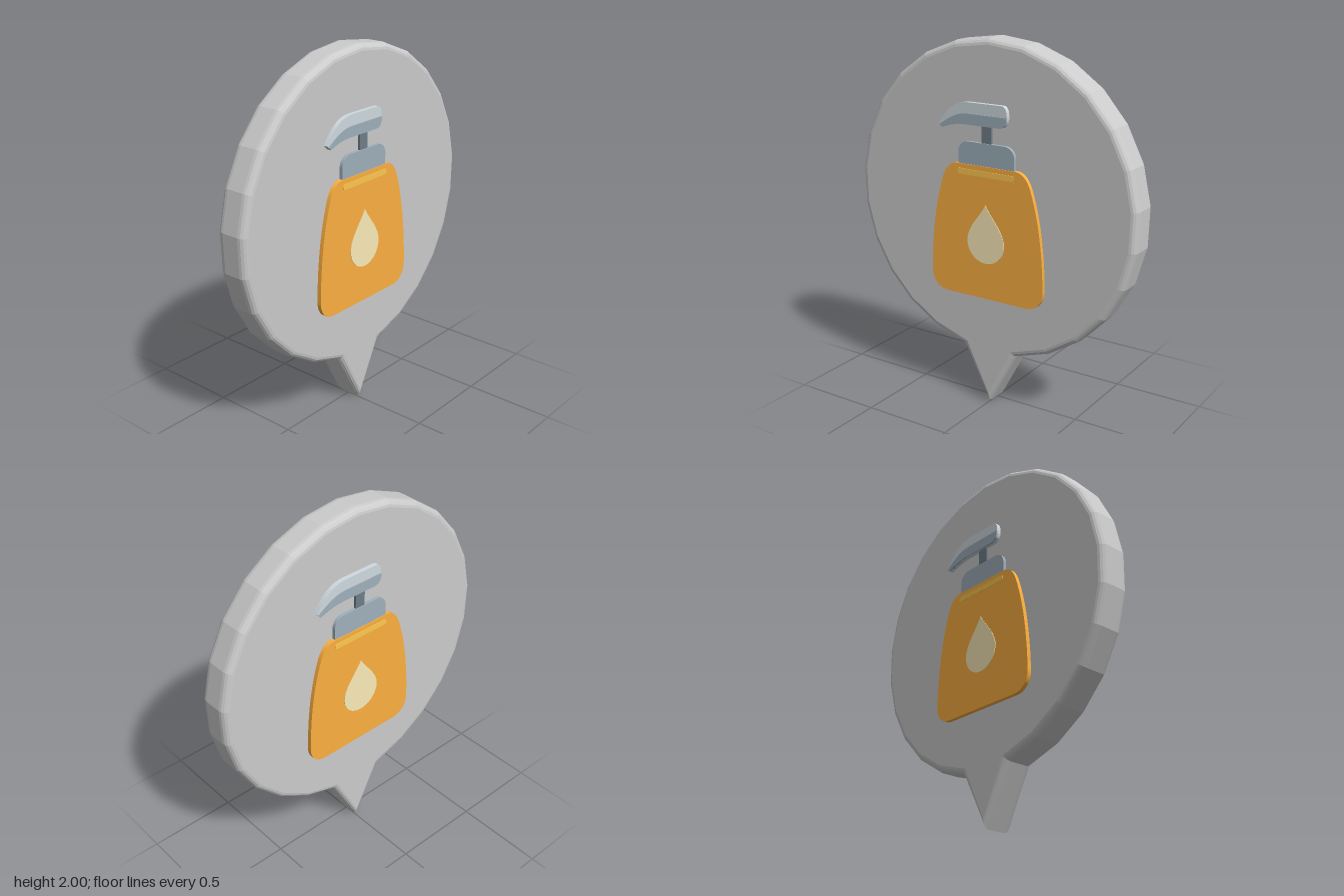
import * as THREE from 'three';

const FACE = 0.088; // half thickness of the sign board

const material = (color) => new THREE.MeshStandardMaterial({ color });

// Flat plate on the front face of the board, reaching out to z = top
function plate(name, shape, top, color, base = FACE - 0.006) {
  const geometry = new THREE.ExtrudeGeometry(shape, {
    depth: top - base, bevelEnabled: false, curveSegments: 12,
  });
  geometry.translate(0, 0, base);
  const mesh = new THREE.Mesh(geometry, material(color));
  mesh.name = name;
  return mesh;
}

// Rectangle with separate corner radii for bottom and top
function roundedRect(x0, y0, x1, y1, rb, rt) {
  const s = new THREE.Shape();
  s.moveTo(x0 + rb, y0);
  s.lineTo(x1 - rb, y0);
  if (rb) s.absarc(x1 - rb, y0 + rb, rb, -Math.PI / 2, 0);
  s.lineTo(x1, y1 - rt);
  if (rt) s.absarc(x1 - rt, y1 - rt, rt, 0, Math.PI / 2);
  s.lineTo(x0 + rt, y1);
  if (rt) s.absarc(x0 + rt, y1 - rt, rt, Math.PI / 2, Math.PI);
  s.lineTo(x0, y0 + rb);
  if (rb) s.absarc(x0 + rb, y0 + rb, rb, Math.PI, Math.PI * 1.5);
  return s;
}

// Faceted round board with a pointed tail and rounded rim
function createBoard() {
  const radius = 0.855, centre = 1.145, sides = 24;
  const reach = Math.PI - Math.asin(0.165 / radius);
  const points = [new THREE.Vector2(0, 0)];
  for (let i = 0; i <= sides; i++) {
    const a = reach * (1 - (2 * i) / sides);
    points.push(new THREE.Vector2(radius * Math.sin(a), centre + radius * Math.cos(a)));
  }
  const bevel = 0.035, thick = 0.04;
  const geometry = new THREE.ExtrudeGeometry(new THREE.Shape(points), {
    depth: 2 * (FACE - thick), bevelEnabled: true, bevelSize: bevel,
    bevelOffset: -bevel, bevelThickness: thick, bevelSegments: 4,
  });
  geometry.translate(0, 0, thick - FACE);
  const mesh = new THREE.Mesh(geometry, material(0xcccccc));
  mesh.name = 'signBoard';
  return mesh;
}

// Pump bottle emblem for one face
function createEmblem() {
  const emblem = new THREE.Group();

  const bottle = new THREE.Shape();
  bottle.moveTo(-0.25, 0.62);
  bottle.lineTo(0.25, 0.62);
  bottle.bezierCurveTo(0.31, 0.62, 0.352, 0.665, 0.35, 0.73);
  bottle.bezierCurveTo(0.345, 0.96, 0.315, 1.13, 0.27, 1.26);
  bottle.bezierCurveTo(0.25, 1.315, 0.22, 1.345, 0.175, 1.345);
  bottle.lineTo(-0.175, 1.345);
  bottle.bezierCurveTo(-0.22, 1.345, -0.25, 1.315, -0.27, 1.26);
  bottle.bezierCurveTo(-0.315, 1.13, -0.345, 0.96, -0.35, 0.73);
  bottle.bezierCurveTo(-0.352, 0.665, -0.31, 0.62, -0.25, 0.62);

  const drop = new THREE.Shape();
  drop.moveTo(0, 1.14);
  drop.bezierCurveTo(-0.03, 1.08, -0.115, 1.01, -0.115, 0.935);
  drop.absarc(0, 0.935, 0.115, Math.PI, 2 * Math.PI);
  drop.bezierCurveTo(0.115, 1.01, 0.03, 1.08, 0, 1.14);

  // Pump head with a drooping nozzle
  const head = new THREE.Shape();
  head.moveTo(-0.27, 1.525);
  head.bezierCurveTo(-0.21, 1.545, -0.18, 1.555, -0.1, 1.555);
  head.lineTo(0.085, 1.555);
  head.bezierCurveTo(0.115, 1.555, 0.13, 1.58, 0.13, 1.612);
  head.bezierCurveTo(0.13, 1.65, 0.12, 1.67, 0.095, 1.67);
  head.lineTo(-0.1, 1.67);
  head.bezierCurveTo(-0.19, 1.67, -0.24, 1.62, -0.29, 1.547);

  // Darker underside of the pump head
  const shade = new THREE.Shape();
  shade.moveTo(-0.27, 1.525);
  shade.bezierCurveTo(-0.21, 1.545, -0.18, 1.555, -0.1, 1.555);
  shade.lineTo(0.085, 1.555);
  shade.bezierCurveTo(0.115, 1.555, 0.13, 1.58, 0.13, 1.612);
  shade.lineTo(-0.1, 1.612);
  shade.bezierCurveTo(-0.18, 1.612, -0.22, 1.58, -0.284, 1.54);

  emblem.add(
    plate('bottle', bottle, 0.111, 0xfcb040),
    plate('waterDrop', drop, 0.114, 0xfcecb9, 0.105),
    plate('bottleHighlight', roundedRect(-0.175, 1.29, 0.175, 1.32, 0.012, 0.012), 0.114, 0xffc94f, 0.105),
    plate('collar', roundedRect(-0.172, 1.345, 0.172, 1.465, 0, 0.06), 0.107, 0x9fb0bb),
    plate('stem', roundedRect(-0.03, 1.465, 0.03, 1.556, 0, 0), 0.102, 0x6f7e87),
    plate('pumpHead', head, 0.112, 0xcfdae0),
    plate('pumpHeadShade', shade, 0.116, 0x9fb0bb, 0.105),
  );
  return emblem;
}

export function createModel() {
  const model = new THREE.Group();
  model.name = 'soapDispenserSign';
  model.add(createBoard());
  // Same emblem on both faces
  ['frontEmblem', 'backEmblem'].forEach((name, i) => {
    const emblem = createEmblem();
    emblem.name = name;
    emblem.rotation.y = i * Math.PI;
    model.add(emblem);
  });
  return model;
}
